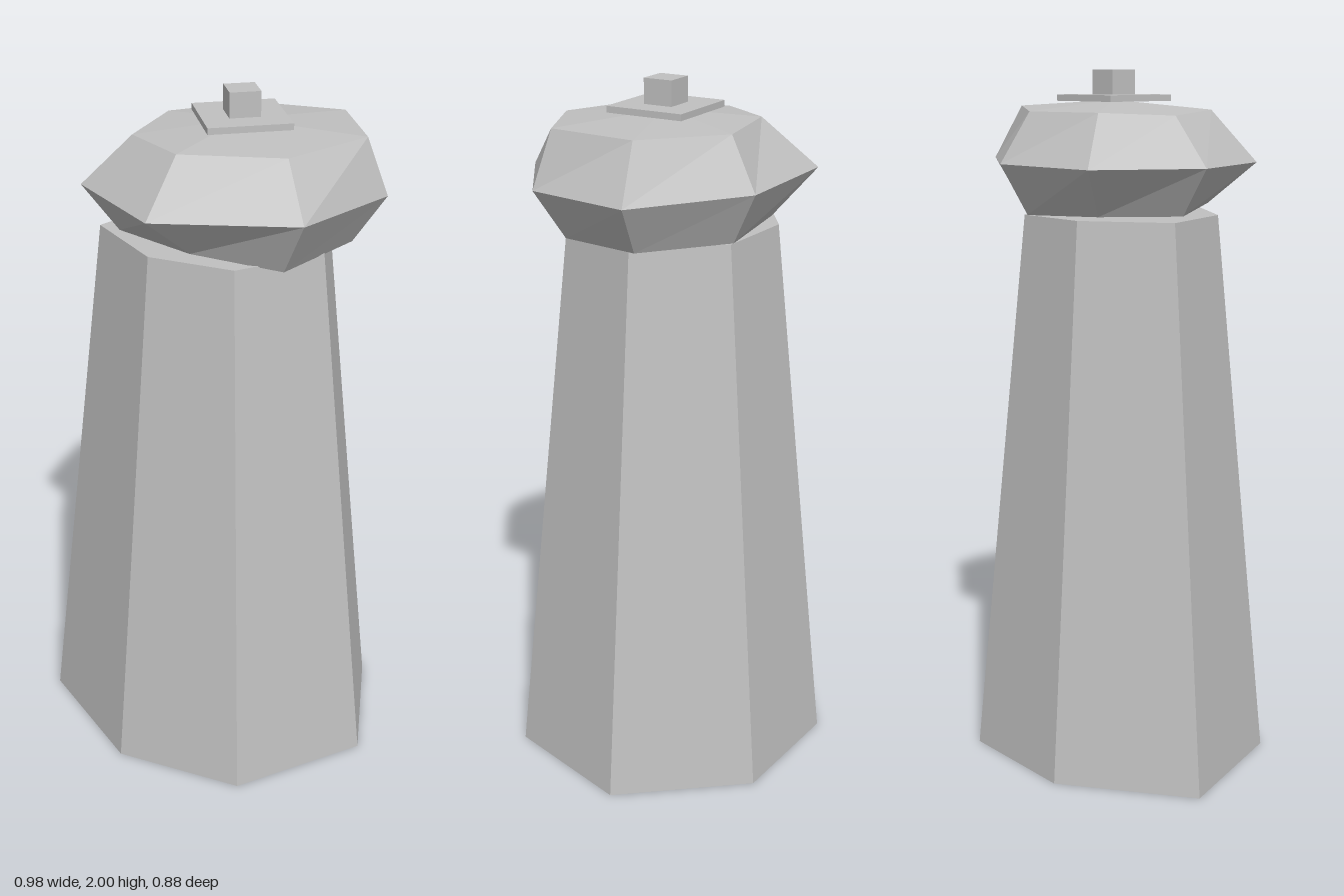
import * as THREE from 'three';

const stone = new THREE.MeshStandardMaterial({ color: 0xc0c0c0, flatShading: true });
stone.name = 'grey stone';

// Joins rings of [x, y, z] corners from the bottom up and closes both ends with fans
function stackRings(name, rings, bottom, top) {
  const pos = [];
  const tri = (a, b, c) => pos.push(...a, ...b, ...c);
  const n = rings[0].length;
  for (let j = 0; j < n; j++) {
    const k = (j + 1) % n;
    for (let i = 0; i + 1 < rings.length; i++) {
      const lower = rings[i], upper = rings[i + 1];
      tri(lower[j], lower[k], upper[k]);
      tri(lower[j], upper[k], upper[j]);
    }
    const last = rings[rings.length - 1];
    tri(last[j], last[k], top);
    tri(rings[0][k], rings[0][j], bottom);
  }
  const geometry = new THREE.BufferGeometry();
  geometry.setAttribute('position', new THREE.Float32BufferAttribute(pos, 3));
  geometry.computeVertexNormals();
  const mesh = new THREE.Mesh(geometry, stone);
  mesh.name = name;
  return mesh;
}

// Square block turned to match the cap
function block(name, side, y0, y1) {
  const mesh = new THREE.Mesh(new THREE.BoxGeometry(side, y1 - y0, side), stone);
  mesh.name = name;
  mesh.position.set(0.09, (y0 + y1) / 2, -0.01);
  mesh.rotation.y = 0.308;
  return mesh;
}

export function createModel() {
  const model = new THREE.Group();
  model.name = 'tower';

  // Tapered seven-sided shaft
  const base = [[-0.49, -0.01], [-0.23, 0.33], [0.14, 0.435], [0.49, 0.205],
    [0.49, -0.205], [0.14, -0.44], [-0.23, -0.345]];
  const foot = base.map(([x, z]) => [x, 0, z]);
  const neck = base.map(([x, z]) => [x * 0.648 + 0.0125, 1.595, z * 0.645]);
  model.add(stackRings('shaft', [foot, neck], [0, 0, 0], [0.01, 1.595, 0]));

  // Irregular faceted head
  const under = [[-0.24, 1.605, 0.05], [-0.02, 1.62, 0.24], [0.23, 1.58, 0.24], [0.4, 1.6, 0.045],
    [0.36, 1.6, -0.19], [0.09, 1.595, -0.28], [-0.16, 1.605, -0.17]];
  const rim = [[-0.34, 1.74, 0.07], [-0.12, 1.74, 0.345], [0.285, 1.74, 0.325], [0.49, 1.74, 0.065],
    [0.445, 1.74, -0.245], [0.09, 1.74, -0.36], [-0.265, 1.74, -0.245]];
  const crown = [[-0.2, 1.877, 0.045], [-0.055, 1.888, 0.23], [0.235, 1.892, 0.24], [0.43, 1.898, 0.055],
    [0.36, 1.895, -0.19], [0.09, 1.885, -0.27], [-0.13, 1.885, -0.155]];
  model.add(stackRings('head', [under, rim, crown], [0.08, 1.6, 0], [0.09, 1.915, -0.01]));

  // Slab and knob on top
  model.add(block('slab', 0.232, 1.912, 1.93));
  model.add(block('knob', 0.086, 1.93, 2));
  return model;
}
